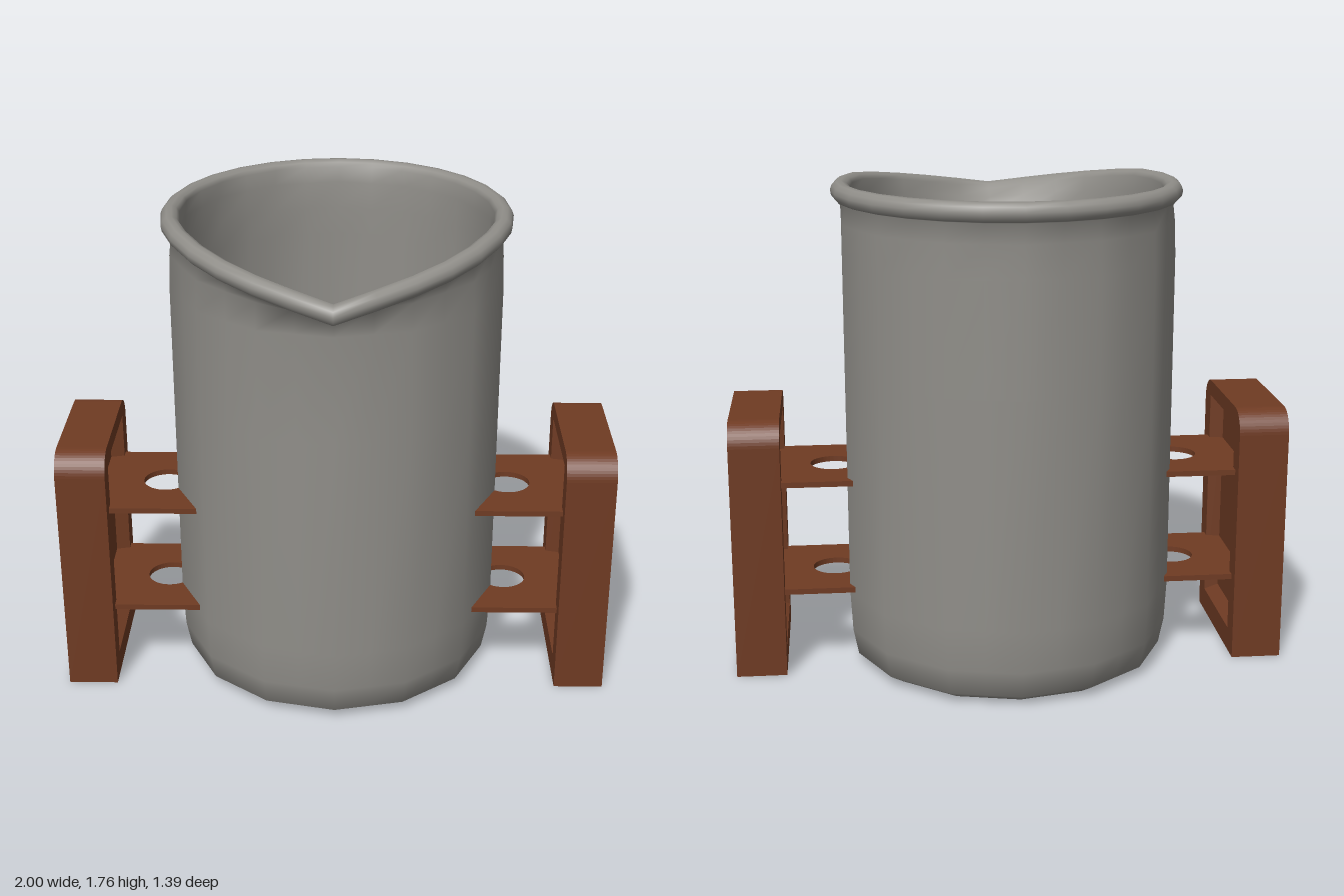
import * as THREE from 'three';

const glass = new THREE.MeshStandardMaterial({ color: 0x908e89, side: THREE.DoubleSide });
glass.name = 'grey glass';
const wood = new THREE.MeshStandardMaterial({ color: 0x6f3b23, side: THREE.DoubleSide });
wood.name = 'brown wood';

function add(parent, name, geometry, material, x = 0, y = 0, z = 0) {
  const mesh = new THREE.Mesh(geometry, material);
  mesh.name = name;
  mesh.position.set(x, y, z);
  parent.add(mesh);
  return mesh;
}

// Beaker loft: rows of [radius, height, spout amount, roundness]; 14 facets in the
// body, 28 around the rolled rim
function beakerGeometry() {
  const rows = [
    [0, 0, 0, 0], [0.515, 0, 0, 0], [0.573, 0.035, 0, 0], [0.592, 0.13, 0, 0],
    [0.6, 0.28, 0, 0], [0.6, 1.1, 0, 0], [0.6, 1.5, 0, 0], [0.6, 1.62, 0.3, 0.3],
  ];
  for (let k = 0; k <= 8; k++) {
    const a = -Math.PI / 2 + (k / 8) * Math.PI * 1.4;
    rows.push([0.602 + 0.035 * Math.cos(a), 1.725 + 0.035 * Math.sin(a), 1, 1]);
  }
  rows.push([0.563, 1.68, 0.75, 0], [0.56, 1.58, 0.15, 0], [0.56, 1.48, 0, 0],
    [0.56, 0.28, 0, 0], [0.545, 0.13, 0, 0], [0.49, 0.05, 0, 0], [0, 0.05, 0, 0]);

  const n = 28, points = [], index = [];
  rows.forEach(([r, y, spout, round], i) => {
    for (let j = 0; j < n; j++) {
      const t = (j / n) * Math.PI * 2;
      const off = Math.min(t, Math.PI * 2 - t);
      const rr = j % 2 ? r * THREE.MathUtils.lerp(Math.cos(Math.PI / 14), 1, round) : r;
      const push = 0.12 * Math.exp(-2.6 * off) * spout;
      const drop = 0.1 * Math.pow(Math.max(0, 1 - off / 1.2), 1.3) * spout;
      const squeeze = 1 - 0.025 * round;
      points.push(rr * Math.sin(t) * squeeze, y - drop, rr * Math.cos(t) - 0.065 + push);
      if (i < rows.length - 1) {
        const a = i * n + j, b = i * n + (j + 1) % n;
        index.push(a, b, b + n, a, b + n, a + n);
      }
    }
  });
  const g = new THREE.BufferGeometry();
  g.setAttribute('position', new THREE.Float32BufferAttribute(points, 3));
  g.setIndex(index);
  g.computeVertexNormals();
  return g;
}

const lathe = (pts, n) => new THREE.LatheGeometry(pts.map(p => new THREE.Vector2(...p)), n);

// Shelf plate with a row of five holes
function shelfGeometry() {
  const s = new THREE.Shape();
  s.moveTo(-0.87, -0.237).lineTo(0.87, -0.237).lineTo(0.87, 0.237).lineTo(-0.87, 0.237).closePath();
  for (let i = -2; i <= 2; i++) {
    s.holes.push(new THREE.Path().absarc(i * 0.317, 0, 0.085, 0, Math.PI * 2, true));
  }
  const g = new THREE.ExtrudeGeometry(s, { depth: 0.02, bevelEnabled: false, curveSegments: 20 });
  return g.rotateX(-Math.PI / 2);
}

// End block outline with rounded top corners and a rectangular opening
function frameGeometry() {
  const w = 0.287, h = 0.94, r = 0.085;
  const s = new THREE.Shape();
  s.moveTo(-w, 0).lineTo(w, 0).lineTo(w, h - r);
  s.absarc(w - r, h - r, r, 0, Math.PI / 2, false);
  s.absarc(-w + r, h - r, r, Math.PI / 2, Math.PI, false);
  s.closePath();
  const hole = new THREE.Path();
  hole.moveTo(-0.203, 0.085).lineTo(-0.203, 0.882).lineTo(0.203, 0.882).lineTo(0.203, 0.085).closePath();
  s.holes.push(hole);
  const g = new THREE.ExtrudeGeometry(s, { depth: 0.18, bevelEnabled: false, curveSegments: 6 });
  return g.rotateY(Math.PI / 2);
}

// Tapered lining of a block recess, opening toward +x
function liningGeometry() {
  const g = new THREE.CylinderGeometry(Math.SQRT1_2, Math.SQRT1_2 * 0.94, 0.05, 4, 1, true)
    .rotateY(Math.PI / 4).rotateZ(-Math.PI / 2).scale(1, 0.797, 0.406).toNonIndexed();
  g.computeVertexNormals();
  return g;
}

export function createModel() {
  const model = new THREE.Group();
  model.name = 'beakerSet';

  // Nested beakers
  const beaker = beakerGeometry();
  add(model, 'largeBeaker', beaker, glass);
  add(model, 'smallBeaker', beaker, glass).scale.setScalar(0.5);

  // Conical flask and test tube standing inside
  add(model, 'flask', lathe([[0, 0], [0.23, 0], [0.26, 0.04], [0.25, 0.1], [0.11, 0.5],
    [0.105, 0.74], [0.14, 0.77], [0.14, 0.79], [0.11, 0.79], [0.095, 0.74], [0.1, 0.5],
    [0.235, 0.1], [0.22, 0.02], [0, 0.02]], 20), glass);
  add(model, 'testTube', lathe([[0, 0.12], [0.05, 0.14], [0.075, 0.2], [0.075, 0.78],
    [0.09, 0.8], [0.085, 0.82], [0.06, 0.8], [0.06, 0.2], [0, 0.15]], 16), glass);

  // Rack shelves
  const rack = new THREE.Group();
  rack.name = 'rack';
  model.add(rack);
  const shelf = shelfGeometry();
  for (const y of [0.29, 0.693]) add(rack, 'shelf', shelf, wood, 0, y, 0);

  // Rack end blocks, recessed on both faces
  const frame = frameGeometry(), lining = liningGeometry();
  const panel = new THREE.BoxGeometry(0.08, 0.797, 0.406);
  for (const side of [1, -1]) {
    const end = new THREE.Group();
    end.name = side > 0 ? 'leftEnd' : 'rightEnd';
    add(end, 'frame', frame, wood, 0.82, 0, 0);
    add(end, 'panel', panel, wood, 0.91, 0.4835, 0);
    add(end, 'outerLining', lining, wood, 0.974, 0.4835, 0);
    add(end, 'innerLining', lining, wood, 0.846, 0.4835, 0).rotation.y = Math.PI;
    if (side < 0) end.rotation.y = Math.PI;
    rack.add(end);
  }
  return model;
}
